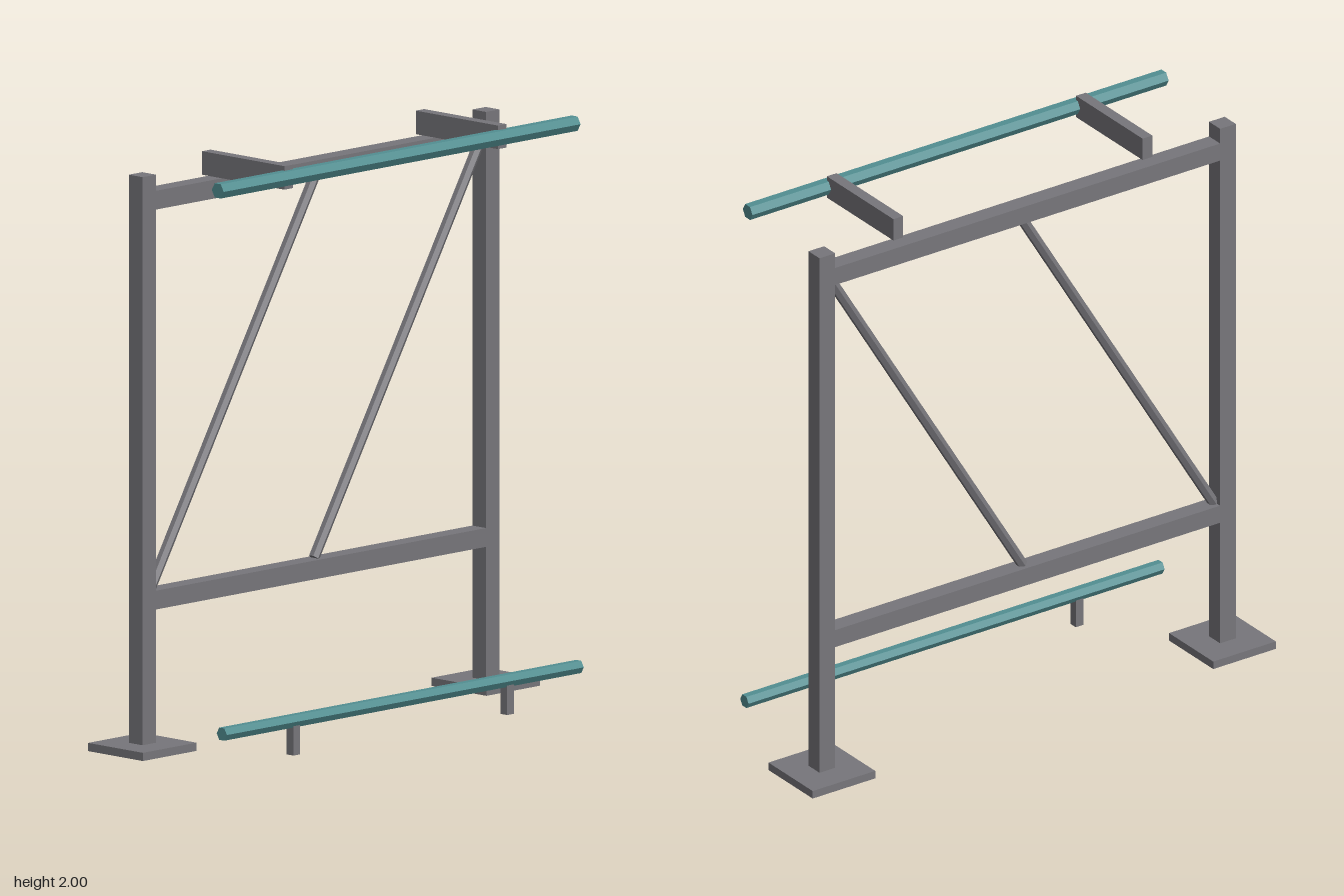
import * as THREE from 'three';

export function createModel() {
  const model = new THREE.Group();
  model.name = 'barFrame';

  const steel = new THREE.MeshStandardMaterial({ color: 0x77767b, flatShading: true });
  steel.name = 'grey steel';
  const teal = new THREE.MeshStandardMaterial({ color: 0x528f92, flatShading: true });
  teal.name = 'teal paint';

  const box = (name, w, h, d, x, y, z) => {
    const mesh = new THREE.Mesh(new THREE.BoxGeometry(w, h, d), steel);
    mesh.name = name;
    mesh.position.set(x, y, z);
    model.add(mesh);
  };

  // six-sided rod between two points in a plane of constant z, ridge facing +z
  const rod = (name, material, radius, x1, y1, x2, y2, z) => {
    const dx = x2 - x1, dy = y2 - y1;
    const mesh = new THREE.Mesh(new THREE.CylinderGeometry(radius, radius, Math.hypot(dx, dy), 6), material);
    mesh.name = name;
    mesh.position.set((x1 + x2) / 2, (y1 + y2) / 2, z);
    mesh.rotation.z = Math.atan2(dy, dx) - Math.PI / 2;
    model.add(mesh);
  };

  const tube = 0.064, postX = 0.82, frameZ = -0.15;

  for (const [side, s] of [['left', 1], ['right', -1]]) {
    // posts on foot plates
    box(side + 'FootPlate', 0.256, 0.028, 0.256, s * postX, 0.014, frameZ);
    box(side + 'Post', tube, 1.932, tube, s * postX, 0.994, frameZ);
    // arms and stubs carrying the bars
    box(side + 'UpperArm', 0.04, 0.08, 0.385, s * 0.51, 1.96, 0.038);
    box(side + 'LowerStub', 0.032, 0.1, 0.032, s * 0.51, 0.05, 0.253);
  }

  // cross beams
  const beamLength = 2 * postX - tube;
  box('upperBeam', beamLength, tube, tube, 0, 1.873, frameZ);
  box('lowerBeam', beamLength, tube, tube, 0, 0.513, frameZ);

  // diagonal braces
  for (const x of [-0.782, 0]) {
    rod('diagonalBrace', steel, 0.019, x, 0.547, x + 0.78, 1.838, frameZ);
  }

  // horizontal bars
  rod('upperBar', teal, 0.028, -0.852, 1.96, 0.852, 1.96, 0.234);
  rod('lowerBar', teal, 0.024, -0.852, 0.115, 0.852, 0.115, 0.253);

  return model;
}
